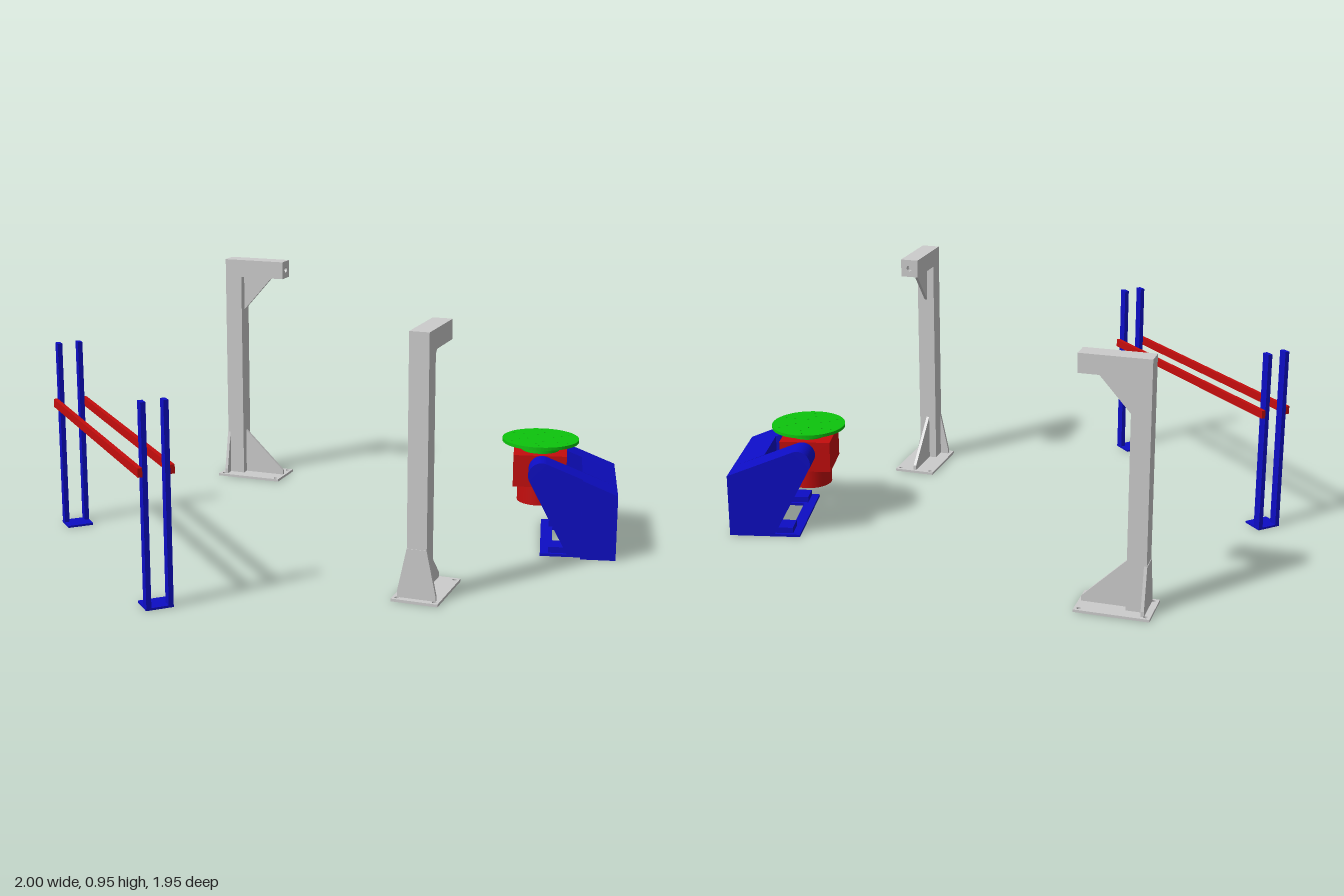
import * as THREE from 'three';

const mat = (color) => new THREE.MeshStandardMaterial({ color });
const GREY = mat(0xcccccc), BLUE = mat(0x0d0dc4), RED = mat(0xc40d0d), GREEN = mat(0x0dc40d);

function add(parent, name, geometry, material) {
  const mesh = new THREE.Mesh(geometry, material);
  mesh.name = name;
  parent.add(mesh);
  return mesh;
}

// Box given by its limits on each axis
function box(parent, name, material, [x0, x1], [y0, y1], [z0, z1]) {
  const mesh = add(parent, name, new THREE.BoxGeometry(x1 - x0, y1 - y0, z1 - z0), material);
  mesh.position.set((x0 + x1) / 2, (y0 + y1) / 2, (z0 + z1) / 2);
  return mesh;
}

const polygon = (points) => new THREE.Shape(points.map(([x, y]) => new THREE.Vector2(x, y)));

function hole(shape, x, y, r) {
  shape.holes.push(new THREE.Path().absarc(x, y, r, 0, Math.PI * 2, true));
}

// Shape in the xy plane, extruded from z0 to z1
function slab(shape, z0, z1, curveSegments = 12) {
  const g = new THREE.ExtrudeGeometry(shape, { depth: z1 - z0, bevelEnabled: false, curveSegments });
  return g.translate(0, 0, z0);
}

// Sensor stand: arm points along local +x
function createStand(name) {
  const stand = new THREE.Group();
  stand.name = name;

  const plate = polygon([[-0.14, -0.085], [0.14, -0.085], [0.14, 0.085], [-0.14, 0.085]]);
  for (const sx of [-1, 1]) for (const sz of [-1, 1]) hole(plate, sx * 0.122, sz * 0.068, 0.008);
  add(stand, 'basePlate', slab(plate, 0, 0.01).rotateX(-Math.PI / 2), GREY);

  box(stand, 'column', GREY, [-0.114, -0.042], [0.01, 0.952], [-0.036, 0.036]);
  box(stand, 'arm', GREY, [-0.042, 0.125], [0.88, 0.952], [-0.036, 0.036]);

  // Arm end with a mounting hole
  const end = polygon([[-0.036, 0.88], [0.036, 0.88], [0.036, 0.952], [-0.036, 0.952]]);
  hole(end, 0, 0.916, 0.012);
  add(stand, 'armEnd', slab(end, 0.125, 0.149).rotateY(Math.PI / 2), GREY);

  // Stiffening plates
  const upper = polygon([[-0.045, 0.73], [0.092, 0.885], [-0.045, 0.885]]);
  add(stand, 'upperGusset', slab(upper, -0.006, 0.006), GREY);
  const lower = polygon([[-0.045, 0.01], [0.13, 0.01], [0.13, 0.03], [-0.045, 0.2]]);
  add(stand, 'lowerGusset', slab(lower, -0.006, 0.006), GREY);
  const wing = polygon([[-0.07, 0.01], [0.07, 0.01], [0.07, 0.03], [0.036, 0.19], [-0.036, 0.19], [-0.07, 0.03]]);
  add(stand, 'wingPlate', slab(wing, -0.116, -0.104).rotateY(Math.PI / 2), GREY);
  return stand;
}

// Barrier of four posts and two long rails
function createBarrier() {
  const barrier = new THREE.Group();
  barrier.name = 'barrier';
  for (const [plateZ, postZ] of [[[0.51, 0.6], [0.565, 0.6]], [[-0.488, -0.4], [-0.488, -0.453]]]) {
    box(barrier, 'footPlate', BLUE, [-0.985, -0.885], [0, 0.008], plateZ);
    for (const x of [-0.984, -0.904]) box(barrier, 'post', BLUE, [x, x + 0.018], [0.008, 0.732], postZ);
  }
  for (const x of [-1, -0.886]) box(barrier, 'rail', RED, [x, x + 0.016], [0.475, 0.507], [-0.488, 0.6]);
  return barrier;
}

// Tilting turntable: local +x points from the back of the housing to the table
function createPositioner() {
  const unit = new THREE.Group();
  unit.name = 'positioner';

  // Base ring with an open middle
  const ring = polygon([[0, 0], [0.28, 0], [0.28, 0.426], [0, 0.426]]);
  ring.holes.push(new THREE.Path([[0.13, 0.107], [0.13, 0.322], [0.235, 0.322], [0.235, 0.107]]
    .map(([x, y]) => new THREE.Vector2(x, y))));
  add(unit, 'baseRing', slab(ring, 0, 0.01).rotateX(-Math.PI / 2), BLUE);

  // Sloped housing and the cover on one end
  const back = polygon([[0, 0], [0.13, 0], [0.13, 0.304], [0, 0.25]]);
  add(unit, 'housing', slab(back, -0.322, -0.107), BLUE);
  add(unit, 'endCover', slab(back, -0.448, -0.426), BLUE);

  // Side arms with rounded tips
  const arm = new THREE.Shape();
  arm.moveTo(0, 0);
  arm.lineTo(0.175, 0);
  arm.lineTo(0.328, 0.29);
  arm.absarc(0.282, 0.31, 0.05, -0.41, 1.96, false);
  arm.lineTo(0, 0.25);
  for (const [z0, z1] of [[-0.107, 0], [-0.426, -0.322]]) {
    add(unit, 'sideArm', slab(arm, z0, z1), BLUE);
    const mid = (z0 + z1) / 2;
    box(unit, 'footBlock', BLUE, [0.17, 0.25], [0.01, 0.033], [mid - 0.04, mid + 0.04]);
  }

  // Tilting body with its drive below
  box(unit, 'tiltBody', RED, [0.19, 0.39], [0.235, 0.358], [-0.316, -0.112]);
  add(unit, 'driveDrum', new THREE.CylinderGeometry(0.085, 0.085, 0.08, 32), RED).position.set(0.29, 0.197, -0.214);
  const axle = add(unit, 'tiltAxle', new THREE.CylinderGeometry(0.035, 0.035, 0.24, 24).rotateX(Math.PI / 2), RED);
  axle.position.set(0.282, 0.3, -0.214);

  // Turntable with rings of bolt holes
  add(unit, 'tableHub', new THREE.CylinderGeometry(0.072, 0.072, 0.034, 40), GREEN).position.set(0.29, 0.374, -0.214);
  const disc = new THREE.Shape().absarc(0, 0, 0.145, 0, Math.PI * 2, false);
  for (const [r, n] of [[0.05, 4], [0.085, 6], [0.12, 6]]) {
    for (let i = 0; i < n; i++) {
      const a = (i / n) * Math.PI * 2 + r * 4;
      hole(disc, r * Math.cos(a), r * Math.sin(a), 0.004);
    }
  }
  add(unit, 'turntable', slab(disc, 0, 0.012, 32).rotateX(-Math.PI / 2), GREEN).position.set(0.29, 0.39, -0.214);

  unit.rotation.y = Math.atan2(0.527, -0.85);
  unit.position.set(1, 0, 0.44);
  return unit;
}

export function createModel() {
  const model = new THREE.Group();
  model.name = 'weldingCell';
  for (const s of [1, -1]) {
    const stand = createStand(s > 0 ? 'frontStand' : 'rearStand');
    stand.position.set(-0.025, 0, s * 0.817);
    stand.rotation.y = (s * Math.PI) / 4;
    model.add(stand);
  }
  model.add(createBarrier(), createPositioner());
  return model;
}
